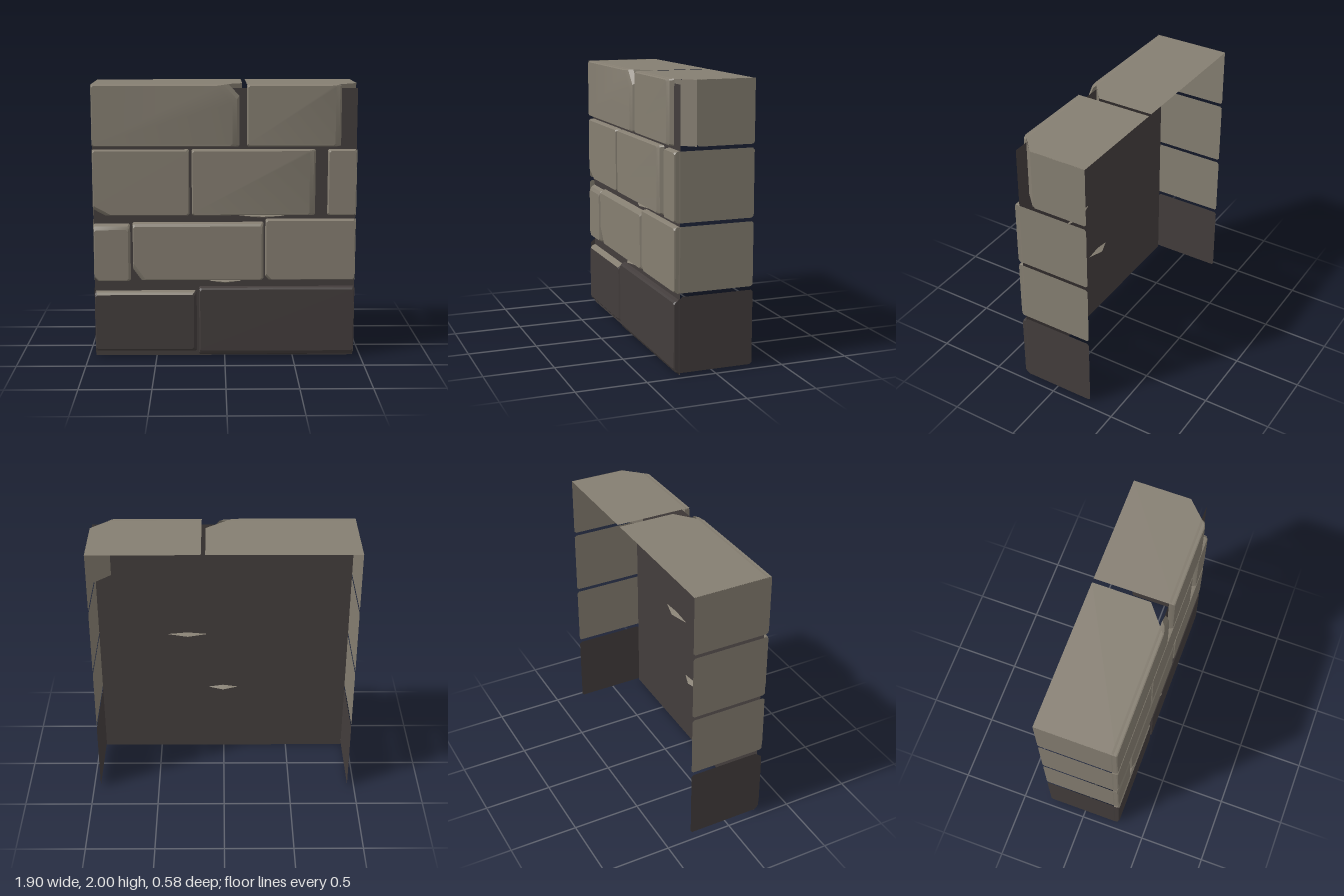
import * as THREE from 'three';
import { toCreasedNormals } from 'three/addons/utils/BufferGeometryUtils.js';

const stone = new THREE.MeshStandardMaterial({ color: 0x857e71, side: THREE.DoubleSide });
stone.name = 'warm grey stone';
const dark = new THREE.MeshStandardMaterial({ color: 0x433d3c, side: THREE.DoubleSide });
dark.name = 'dark brown stone';

const BACK = 0.245, FRONT = 0.287, REAR = -0.29, SIDE = 0.949;

// rectangle with cut corners, counter-clockwise; cuts = [bl, br, tr, tl] as [cx, cy]
function outline(x0, x1, y0, y1, [bl, br, tr, tl]) {
  return [
    [x0, y0 + bl[1]], [x0 + bl[0], y0], [x1 - br[0], y0], [x1, y0 + br[1]],
    [x1, y1 - tr[1]], [x1 - tr[0], y1], [x0 + tl[0], y1], [x0, y1 - tl[1]],
  ];
}

// open-backed brick face: three rings from the mortar plane to the flat front
function brickGeometry([x0, x1, y0, y1], { l = 0.008, r = 0.008, b = 0.01, t = 0.01, chips = {} }) {
  const rings = [[BACK, 0, 0.7], [0.273, 0.35, 0.85], [FRONT, 1, 1]].map(([z, k, c]) => {
    const cuts = ['bl', 'br', 'tr', 'tl'].map((n) => (chips[n] || [0.012, 0.012]).map((v) => v * c));
    return outline(x0 + l * k, x1 - r * k, y0 + b * k, y1 - t * k, cuts).map(([x, y]) => [x, y, z]);
  });
  const body = [], top = [];
  for (let i = 0; i < 2; i++) {
    for (let j = 0; j < 8; j++) {
      const a = rings[i][j], d = rings[i][(j + 1) % 8], e = rings[i + 1][(j + 1) % 8], f = rings[i + 1][j];
      (j === 5 ? top : body).push(a, d, e, a, e, f);
    }
  }
  const face = rings[2];
  for (let j = 1; j < 7; j++) body.push(face[0], face[j], face[j + 1]);
  const geo = new THREE.BufferGeometry();
  geo.setAttribute('position', new THREE.Float32BufferAttribute([...body, ...top].flat(), 3));
  geo.addGroup(0, body.length, 0);
  geo.addGroup(body.length, top.length, 1);
  return toCreasedNormals(geo, 0.45);
}

function shapeOf(points) {
  return new THREE.ShapeGeometry(new THREE.Shape(points.map((p) => new THREE.Vector2(...p))));
}

export function createModel() {
  const model = new THREE.Group();
  model.name = 'stoneWall';
  const add = (name, geo, mat) => {
    const mesh = new THREE.Mesh(geo, mat);
    mesh.name = name;
    model.add(mesh);
    return mesh;
  };

  // mortar sheet behind the bricks
  add('mortar', new THREE.PlaneGeometry(1.896, 1.97).translate(0, 0.985, BACK), dark);

  // brick fronts, from the top course down: [x0, x1, y0, y1], bevels and chipped corners
  const bricks = [
    ['topBrickLong', [-0.95, 0.105, 1.555, 2], { r: 0.05, chips: { tr: [0.11, 0.12] } }],
    ['topBrickShort', [0.16, 0.835, 1.555, 2], { r: 0.045 }],
    ['thirdCourseBrickRight', [-0.95, -0.255, 1.055, 1.535], { chips: { bl: [0.12, 0.065] } }],
    ['thirdCourseBrickMiddle', [-0.237, 0.655, 1.055, 1.535], { r: 0.045 }],
    ['thirdCourseBrickLeft', [0.743, 0.95, 1.055, 1.535], {}],
    ['secondCourseBrickRight', [-0.95, -0.685, 0.57, 0.993], { r: 0.015, t: 0.04, chips: { bl: [0.03, 0.03] } }],
    ['secondCourseBrickMiddle', [-0.668, 0.283, 0.575, 1.005], { r: 0.015, t: 0.028, chips: { bl: [0.085, 0.12] } }],
    ['secondCourseBrickLeft', [0.295, 0.95, 0.575, 1.028], { chips: { bl: [0.04, 0.04] } }],
    ['baseBrickRight', [-0.95, -0.205, 0.035, 0.495], { r: 0.02, b: 0.025, t: 0.026 }],
    ['baseBrickLeft', [-0.187, 0.95, 0.005, 0.525], { b: 0.04, t: 0.018 }],
  ];
  for (const [name, rect, opts] of bricks) {
    const body = name.startsWith('base') ? dark : stone;
    const top = name === 'baseBrickLeft' ? dark : stone;
    add(name, brickGeometry(rect, opts), [body, top]);
  }

  // end faces of the courses, mirrored to both ends
  const courses = [[0.015, 0.55, dark], [0.575, 1.03, stone], [1.055, 1.535, stone], [1.56, 2, stone]];
  for (const s of [-1, 1]) {
    courses.forEach(([y0, y1, mat], i) => {
      const c = [0.014, 0.014];
      const frontZ = s > 0 && i === 3 ? 0.13 : 0.28;
      const frontCut = i === 0 ? [0.05, 0.04] : c;
      const cuts = i === 3 ? [c, c, [0, 0], [0, 0]] : [c, c, c, c];
      if (i === 0) cuts[0] = [0.03, 0.03];
      if (i === 0) cuts[3] = frontCut;
      // the sheet's local x runs from the front to the rear
      const geo = shapeOf(outline(-frontZ, -REAR, y0, y1, cuts));
      geo.rotateY(Math.PI / 2);
      if (s < 0) geo.index.array.reverse();
      geo.computeVertexNormals();
      geo.translate(s * SIDE, 0, 0);
      add(s > 0 ? 'leftEndFace' : 'rightEndFace', geo, mat);
    });
  }

  // top faces, drawn as [x, -z]
  const tops = [
    ['topFaceLong', [[-0.95, -0.28], [-0.06, -0.28], [0.128, -0.13], [0.128, 0.29], [-0.95, 0.29]]],
    ['topFaceShort', [[0.158, -0.28], [0.79, -0.28], [0.95, -0.13], [0.95, 0.29], [0.158, 0.29]]],
  ];
  for (const [name, pts] of tops) add(name, shapeOf(pts).rotateX(-Math.PI / 2).translate(0, 1.998, 0), stone);

  // upright cut corners of the top course
  const cuts = [
    ['cutCorner', 0.832, 0.245, 0.949, 0.13, 1.56],
    ['chipCorner', -0.015, 0.245, 0.128, 0.13, 1.88],
  ];
  for (const [name, xa, za, xb, zb, y0] of cuts) {
    const geo = new THREE.PlaneGeometry(Math.hypot(xb - xa, zb - za), 1.998 - y0);
    geo.rotateY(Math.atan2(za - zb, xb - xa));
    add(name, geo.translate((xa + xb) / 2, (1.998 + y0) / 2, (za + zb) / 2), stone);
  }

  // loose flakes along the joints
  for (const [x, y, w, h] of [[0.275, 1.05, 0.17, 0.015], [0.005, 0.567, 0.125, 0.018]]) {
    const geo = new THREE.OctahedronGeometry(1).scale(w, h, 0.045);
    add('stoneFlake', toCreasedNormals(geo, 0.3).translate(x, y, 0.248), stone);
  }
  return model;
}
